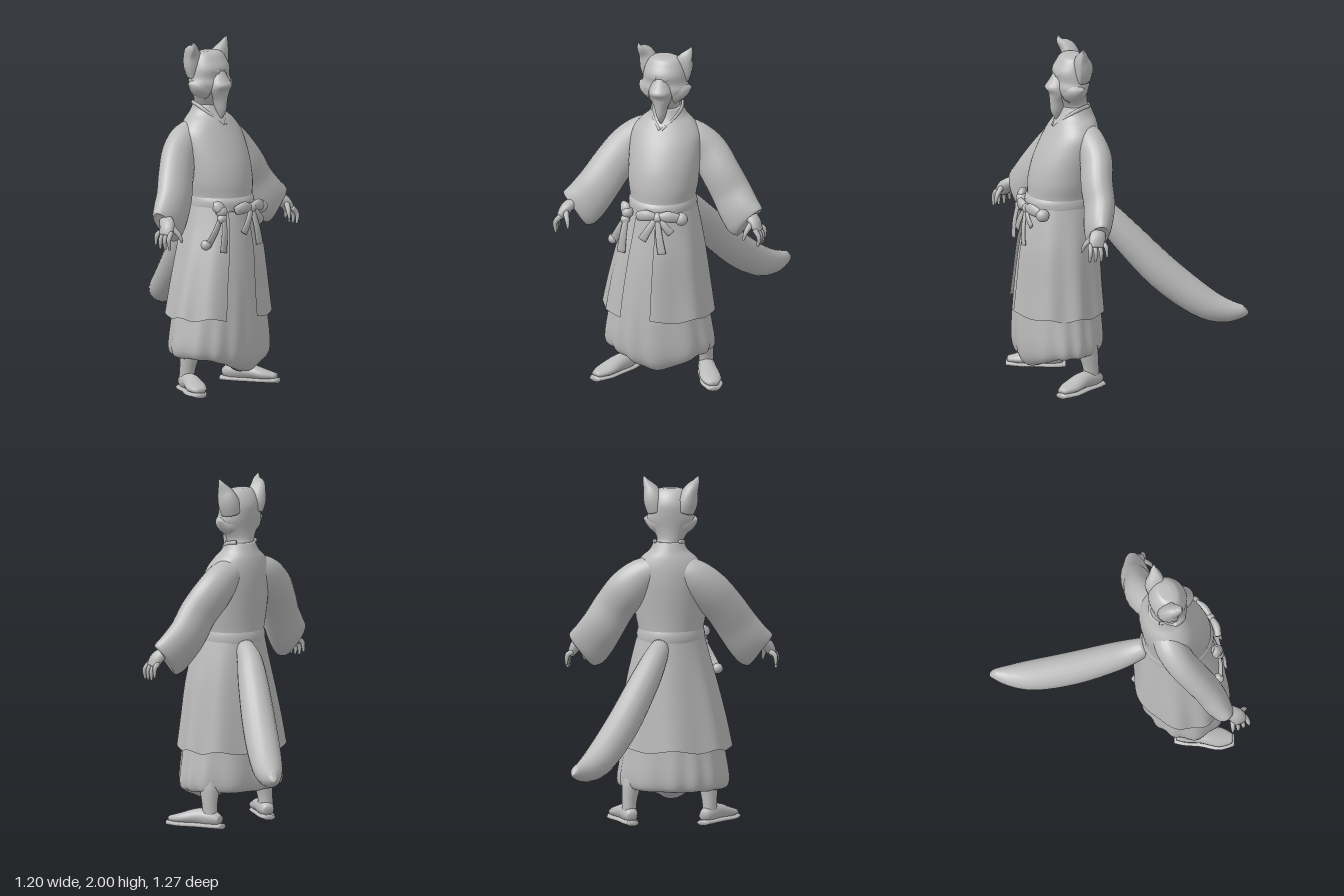
import * as THREE from 'three';

const grey = new THREE.MeshStandardMaterial({ color: 0xbababa, side: THREE.DoubleSide });
grey.name = 'plain grey';

// Smoothly interpolates rows of numbers (Catmull-Rom)
function resample(rows, sub) {
  const out = [];
  const at = (i) => rows[Math.max(0, Math.min(rows.length - 1, i))];
  for (let i = 0; i < rows.length - 1; i++) {
    for (let k = 0; k < sub; k++) {
      const t = k / sub;
      out.push(rows[i].map((p1, c) => {
        const p0 = at(i - 1)[c], p2 = at(i + 1)[c], p3 = at(i + 2)[c];
        return 0.5 * (2 * p1 + (p2 - p0) * t + (2 * p0 - 5 * p1 + 4 * p2 - p3) * t * t
          + (3 * p1 - p0 - 3 * p2 + p3) * t * t * t);
      }));
    }
  }
  out.push(rows[rows.length - 1]);
  return out;
}

// Skins a list of rings; closed rings get end caps
function skin(name, rings, closed = true) {
  const n = rings[0].length, pos = [], idx = [];
  rings.forEach((r) => r.forEach((p) => pos.push(p.x, p.y, p.z)));
  for (let i = 0; i < rings.length - 1; i++) {
    for (let j = 0; j < (closed ? n : n - 1); j++) {
      const a = i * n + j, b = i * n + (j + 1) % n;
      idx.push(a, b, b + n, a, b + n, a + n);
    }
  }
  if (closed) {
    [0, rings.length - 1].forEach((i) => {
      const c = new THREE.Vector3();
      rings[i].forEach((p) => c.addScaledVector(p, 1 / n));
      const k = pos.length / 3;
      pos.push(c.x, c.y, c.z);
      for (let j = 0; j < n; j++) {
        const a = i * n + j, b = i * n + (j + 1) % n;
        if (i === 0) idx.push(k, b, a); else idx.push(k, a, b);
      }
    });
  }
  const g = new THREE.BufferGeometry();
  g.setAttribute('position', new THREE.Float32BufferAttribute(pos, 3));
  g.setIndex(idx);
  g.computeVertexNormals();
  const mesh = new THREE.Mesh(g, grey);
  mesh.name = name;
  return mesh;
}

// Stacked horizontal ovals, bottom to top; row = [y, centreX, halfWidth, zFront, zBack]
function stack(name, rows, { seg = 40, warp, from = 0, to = 360 } = {}) {
  const closed = to - from === 360;
  const list = resample(rows, 4);
  const rings = list.map(([y, cx, rx, zf, zb], i) => {
    const ring = [];
    for (let j = 0; j < (closed ? seg : seg + 1); j++) {
      const a = THREE.MathUtils.degToRad(from + (to - from) * j / seg);
      const p = new THREE.Vector3(Math.cos(a) * rx, y, -Math.sin(a) * (zf - zb) / 2);
      if (warp) warp(p, a, i / (list.length - 1));
      p.x += cx;
      p.z += (zf + zb) / 2;
      ring.push(p);
    }
    return ring;
  });
  return skin(name, rings, closed);
}

// Oval tube along a path; row = [x, y, z, halfWidth, halfDepth]
function limb(name, rows, { seg = 14, ref = [0, 0, 1], dent = 1 } = {}) {
  const list = resample(rows, 4);
  const pts = list.map((r) => new THREE.Vector3(r[0], r[1], r[2]));
  const up = new THREE.Vector3(...ref);
  const rings = list.map((r, i) => {
    const t = pts[Math.min(i + 1, pts.length - 1)].clone().sub(pts[Math.max(i - 1, 0)]).normalize();
    const s = t.clone().cross(up).normalize();
    const n = t.clone().cross(s);
    return Array.from({ length: seg }, (_, j) => {
      const a = j / seg * Math.PI * 2, q = Math.sin(a);
      return pts[i].clone().addScaledVector(s, Math.cos(a) * r[3])
        .addScaledVector(n, q * r[4] * (q < 0 ? dent : 1));
    });
  });
  return skin(name, rings);
}

function makeHead() {
  const g = new THREE.Group();
  g.name = 'head';
  g.add(stack('skull', [
    [1.54, 0, 0.1, 0.35, 0.155], [1.61, 0, 0.076, 0.33, 0.175], [1.65, -0.01, 0.08, 0.35, 0.185],
    [1.7, -0.01, 0.11, 0.375, 0.185], [1.75, -0.01, 0.138, 0.382, 0.178], [1.79, -0.01, 0.13, 0.375, 0.172],
    [1.84, -0.01, 0.122, 0.383, 0.17], [1.885, -0.01, 0.108, 0.36, 0.185], [1.92, -0.01, 0.085, 0.335, 0.21],
    [1.933, -0.01, 0.05, 0.3, 0.23],
  ]));
  // Long muzzle ending in a pointed beard
  g.add(stack('muzzle', [
    [1.555, -0.005, 0.008, 0.375, 0.35], [1.6, -0.005, 0.025, 0.4, 0.33], [1.66, -0.008, 0.042, 0.405, 0.3],
    [1.71, -0.01, 0.068, 0.41, 0.29], [1.745, -0.01, 0.068, 0.433, 0.28], [1.775, -0.01, 0.06, 0.415, 0.28],
    [1.81, -0.01, 0.045, 0.393, 0.29], [1.85, -0.01, 0.03, 0.37, 0.3],
  ], { seg: 20 }));
  for (const s of [-1, 1]) {
    const x = (v) => -0.01 + s * v, tip = 0.28 - s * 0.018;
    g.add(limb('ear', [
      [x(0.075), 1.8, 0.265, 0.06, 0.08], [x(0.094), 1.86, 0.265, 0.062, 0.085],
      [x(0.116), 1.92, 0.268, 0.044, 0.068], [x(0.14), 1.965, tip, 0.021, 0.032], [x(0.155), 1.998, tip, 0.003, 0.004],
    ], { dent: 0.35 }));
    g.add(limb('cheekTuft', [
      [x(0.06), 1.735, 0.28, 0.08, 0.085], [x(0.115), 1.745, 0.275, 0.048, 0.06], [x(0.154), 1.757, 0.262, 0.004, 0.004],
    ]));
    g.add(limb('brow', [
      [x(0.02), 1.825, 0.373, 0.018, 0.012], [x(0.06), 1.835, 0.352, 0.022, 0.014], [x(0.1), 1.84, 0.305, 0.015, 0.01],
    ]));
  }
  return g;
}

// Wide sleeve with a hand; z gives the depth from shoulder to wrist
function makeArm(s, z) {
  const g = new THREE.Group();
  g.name = s > 0 ? 'leftArm' : 'rightArm';
  const [a, b, c, d, e] = z;
  g.add(limb('sleeve', [
    [s * 0.04, 1.49, a + 0.005, 0.065, 0.07], [s * 0.14, 1.437, a, 0.1, 0.087], [s * 0.23, 1.355, b, 0.116, 0.09],
    [s * 0.312, 1.245, c, 0.118, 0.088], [s * 0.375, 1.14, d - 0.04, 0.121, 0.085],
    [s * 0.435, 1.05, d - 0.01, 0.126, 0.078], [s * 0.482, 0.995, d + 0.01, 0.125, 0.062], [s * 0.495, 0.983, d + 0.015, 0.1, 0.045],
  ], { seg: 24 }));
  g.add(limb('palm', [
    [s * 0.49, 1.05, d, 0.03, 0.035], [s * 0.54, 1.005, e - 0.01, 0.034, 0.046], [s * 0.568, 0.955, e, 0.02, 0.045],
  ]));
  for (let i = 0; i < 4; i++) {
    const f = e + (i - 1.5) * 0.026, k = i === 0 ? 0.02 : 0;
    g.add(limb('finger', [
      [s * 0.555, 0.975, f, 0.015, 0.014], [s * 0.585, 0.935 + k, f + (i - 1.5) * 0.006, 0.014, 0.013],
      [s * (0.59 - i * 0.004), 0.88 + k, f + (i - 1.5) * 0.008, 0.007, 0.007],
    ], { seg: 8 }));
  }
  g.add(limb('thumb', [
    [s * 0.53, 1.0, e + 0.02, 0.018, 0.016], [s * 0.51, 0.96, e + 0.055, 0.014, 0.013], [s * 0.5, 0.915, e + 0.07, 0.006, 0.006],
  ], { seg: 8 }));
  return g;
}

// Bare leg, foot turned outward, flat sandal
function makeLeg(s, z) {
  const g = new THREE.Group();
  g.name = s > 0 ? 'leftLeg' : 'rightLeg';
  g.add(limb('shin', [
    [s * 0.2, 0.32, z + 0.1, 0.055, 0.06], [s * 0.215, 0.23, z + 0.08, 0.055, 0.06],
    [s * 0.225, 0.13, z + 0.065, 0.043, 0.047], [s * 0.225, 0.05, z + 0.06, 0.04, 0.047],
  ]));
  g.add(limb('foot', [
    [s * 0.2, 0.05, z, 0.03, 0.025], [s * 0.22, 0.06, z + 0.05, 0.046, 0.048], [s * 0.255, 0.064, z + 0.13, 0.052, 0.046],
    [s * 0.305, 0.048, z + 0.22, 0.06, 0.03], [s * 0.34, 0.04, z + 0.285, 0.03, 0.016],
  ], { ref: [0, 1, 0] }));
  g.add(limb('sandal', [
    [s * 0.195, 0.016, z - 0.015, 0.035, 0.016], [s * 0.217, 0.016, z + 0.04, 0.05, 0.016],
    [s * 0.26, 0.016, z + 0.13, 0.054, 0.016], [s * 0.31, 0.016, z + 0.22, 0.064, 0.016], [s * 0.345, 0.016, z + 0.295, 0.036, 0.016],
  ], { ref: [0, 1, 0] }));
  return g;
}

function makeRobe() {
  const g = new THREE.Group();
  g.name = 'robe';
  g.add(stack('jacket', [
    [1.05, 0, 0.185, 0.54, 0.15], [1.12, 0, 0.187, 0.535, 0.148], [1.2, 0, 0.2, 0.53, 0.143], [1.3, 0, 0.205, 0.505, 0.133],
    [1.4, 0, 0.208, 0.46, 0.126], [1.48, 0, 0.198, 0.415, 0.128], [1.54, 0, 0.155, 0.38, 0.138],
    [1.58, 0, 0.11, 0.355, 0.152], [1.63, 0, 0.085, 0.335, 0.172],
  ]));
  for (const s of [-1, 1]) {
    g.add(limb('collar', [
      [s * 0.07, 1.635, 0.2, 0.008, 0.012], [s * 0.086, 1.62, 0.27, 0.008, 0.012],
      [s * 0.06, 1.575, 0.335, 0.008, 0.01], [s * 0.005, 1.52, 0.39, 0.008, 0.008],
    ], { ref: [0, 1, 0] }));
  }
  g.add(stack('sash', [
    [1.04, 0, 0.19, 0.545, 0.145], [1.07, 0, 0.194, 0.55, 0.14], [1.1, 0, 0.192, 0.547, 0.142], [1.125, 0, 0.185, 0.53, 0.15],
  ]));
  // Underskirt: deep pleats, hem dipping at the front
  g.add(stack('underskirt', [
    [0.225, -0.01, 0.2, 0.5, 0.22], [0.2, -0.01, 0.275, 0.565, 0.15], [0.25, -0.015, 0.318, 0.605, 0.115],
    [0.45, -0.015, 0.29, 0.605, 0.12], [0.75, -0.01, 0.25, 0.58, 0.135], [1.08, 0, 0.175, 0.53, 0.16],
  ], {
    seg: 120,
    warp: (p, a, t) => {
      const k = Math.max(0, 1 - t * 1.25), f = 1 + 0.045 * k * Math.sin(a * 13 + 1.5 * Math.sin(a * 3));
      p.x *= f;
      p.z *= f;
      p.y -= 0.115 * Math.max(0, 1 - t * 1.8) * Math.max(0, Math.cos(a - 4.85)) ** 4;
    },
  }));
  // Overskirt: wrapped sheet left open down the front
  g.add(stack('overskirt', [
    [0.435, -0.02, 0.32, 0.627, 0.09], [0.6, -0.015, 0.294, 0.613, 0.103], [0.8, -0.005, 0.257, 0.597, 0.118],
    [0.95, 0, 0.222, 0.57, 0.132], [1.08, 0, 0.19, 0.545, 0.145],
  ], {
    seg: 110, from: 276, to: 600,
    warp: (p, a, t) => {
      const w = (1 - t) * Math.sin(a * 8 + 1 + Math.sin(a * 2));
      p.x *= 1 + 0.033 * w;
      p.z *= 1 + 0.033 * w;
      p.y += 0.01 * w * (1 - t);
    },
  }));
  return g;
}

// Loops, knots and hanging ends tied at the waist
function makeBow() {
  const g = new THREE.Group();
  g.name = 'bow';
  const knot = (x, y, z, r) => {
    const m = new THREE.Mesh(new THREE.SphereGeometry(r, 16, 12), grey);
    m.position.set(x, y, z);
    m.name = 'knot';
    g.add(m);
  };
  knot(0.04, 1.055, 0.56, 0.03);
  knot(0.165, 1.045, 0.515, 0.038);
  knot(-0.155, 1.05, 0.52, 0.034);
  knot(-0.165, 1.01, 0.53, 0.027);
  knot(-0.25, 0.865, 0.49, 0.03);
  const loop = (x0, y0, x1, y1, z0, z1) => g.add(limb('bowLoop', [
    [x0, y0, z0, 0.018, 0.016], [(x0 + x1) / 2, (y0 + y1) / 2 + 0.01, (z0 + z1) / 2 + 0.01, 0.034, 0.022],
    [x1, y1, z1, 0.026, 0.018],
  ]));
  loop(0.04, 1.06, 0.16, 1.05, 0.565, 0.525);
  loop(0.03, 1.06, -0.08, 1.05, 0.565, 0.56);
  loop(-0.15, 1.05, -0.19, 1.08, 0.525, 0.49);
  const strap = (x0, y0, x1, y1, z0, z1) => g.add(limb('strap', [
    [x0, y0, z0, 0.016, 0.01], [(x0 + x1) / 2, (y0 + y1) / 2, (z0 + z1) / 2 + 0.008, 0.021, 0.01], [x1, y1, z1, 0.026, 0.009],
  ]));
  strap(0.04, 1.05, 0.075, 0.85, 0.57, 0.595);
  strap(0.03, 1.05, -0.045, 0.92, 0.57, 0.588);
  strap(0.05, 1.05, 0.12, 0.97, 0.565, 0.565);
  strap(-0.155, 1.03, -0.18, 0.82, 0.54, 0.56);
  strap(-0.17, 1.01, -0.245, 0.86, 0.525, 0.5);
  return g;
}

export function createModel() {
  const model = new THREE.Group();
  model.name = 'robedFox';
  model.add(makeHead(), makeRobe(), makeBow());
  model.add(makeArm(-1, [0.23, 0.255, 0.31, 0.4, 0.48]), makeArm(1, [0.22, 0.215, 0.242, 0.29, 0.335]));
  model.add(makeLeg(-1, 0.25), makeLeg(1, 0.18));
  // Thick tail sweeping back, down and to the left
  model.add(limb('tail', [
    [0.035, 1.04, 0.17, 0.05, 0.05], [0.06, 0.97, 0.09, 0.075, 0.07], [0.11, 0.85, -0.01, 0.09, 0.085],
    [0.21, 0.635, -0.2, 0.1, 0.095], [0.31, 0.475, -0.39, 0.092, 0.09], [0.375, 0.425, -0.51, 0.07, 0.068],
    [0.425, 0.425, -0.6, 0.038, 0.032], [0.437, 0.432, -0.62, 0.02, 0.014],
  ], { ref: [1, 0, 0], seg: 20 }));
  return model;
}
